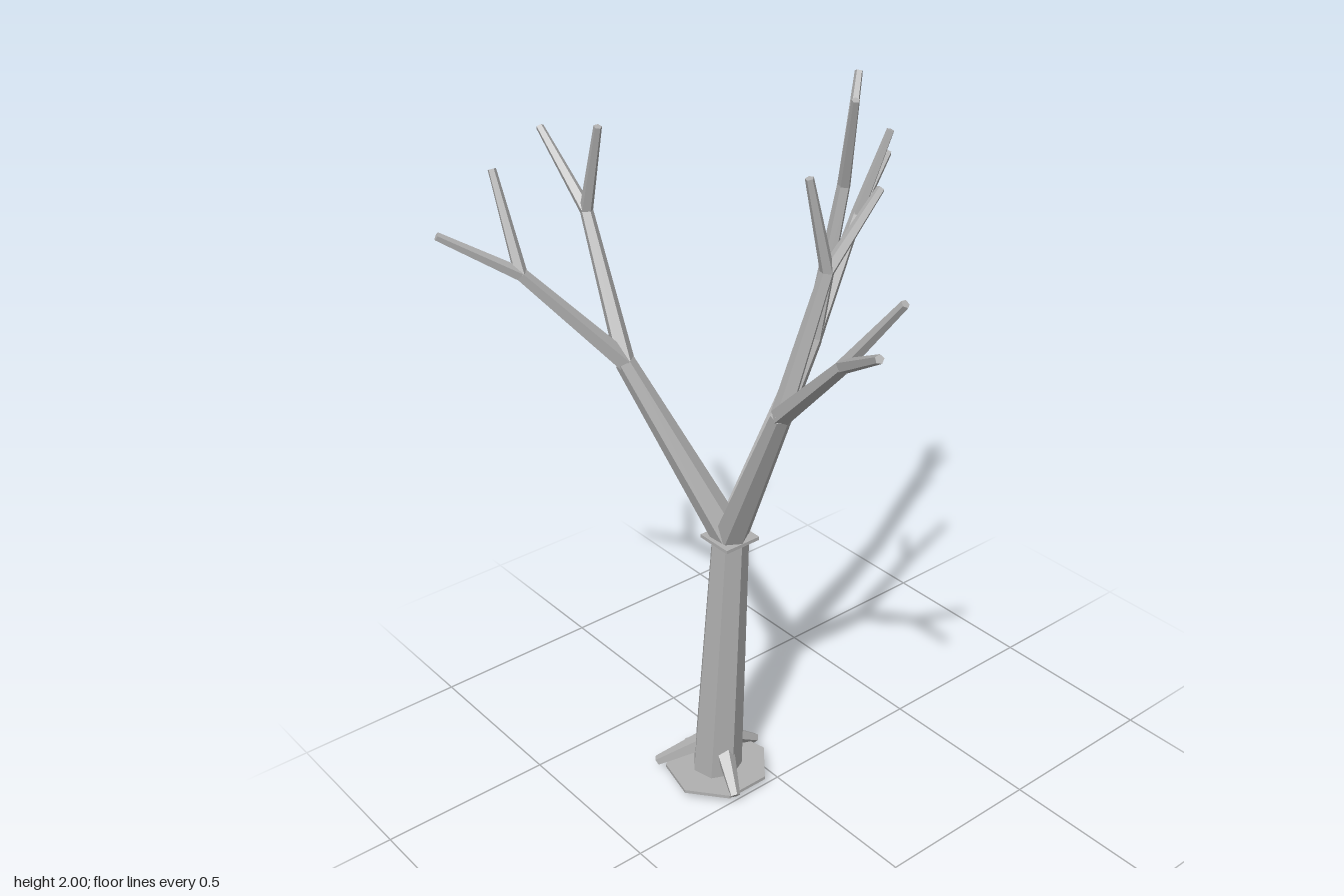
import * as THREE from 'three';

const UP = new THREE.Vector3(0, 1, 0);

export function createModel() {
  const tree = new THREE.Group();
  tree.name = 'bareTree';
  const bark = new THREE.MeshStandardMaterial({ color: 0xb0b0b0, flatShading: true });
  bark.name = 'greyBark';

  const add = (name, geometry) => {
    const mesh = new THREE.Mesh(geometry, bark);
    mesh.name = name;
    tree.add(mesh);
    return mesh;
  };

  // Tapered faceted rod from point a to point b
  const rod = (name, a, b, r0, r1, sides) => {
    const start = new THREE.Vector3(...a);
    const axis = new THREE.Vector3(...b).sub(start);
    const mesh = add(name, new THREE.CylinderGeometry(r1, r0, axis.length(), sides));
    mesh.position.copy(start).addScaledVector(axis, 0.5);
    mesh.quaternion.setFromUnitVectors(UP, axis.normalize());
  };

  // Trunk, with a thin base plate and a square collar at the crown
  const crown = [-0.1, 0.835, -0.08];
  rod('trunk', [-0.124, 0.005, -0.132], crown, 0.074, 0.052, 7);
  const base = add('basePlate', new THREE.CylinderGeometry(0.152, 0.152, 0.01, 7));
  base.position.set(-0.122, 0.035, -0.127);
  base.rotation.y = Math.PI;
  const collar = add('crownCollar', new THREE.BoxGeometry(0.112, 0.01, 0.112));
  collar.position.set(...crown);

  // Roots: start and tip
  const roots = [
    [[-0.1, 0.125, -0.157], [0.04, 0.035, -0.15]],
    [[-0.128, 0.125, -0.09], [-0.172, 0.035, 0.015]],
    [[-0.14, 0.125, -0.15], [-0.245, 0.035, -0.255]],
  ];
  for (const [a, b] of roots) rod('root', a, b, 0.03, 0.015, 5);

  // Each limb forks into two branches, each branch into two twigs
  const limbs = [
    { end: [0.2, 1.33, -0.09], branches: [
      { end: [0.275, 1.745, -0.062], twigs: [[0.23, 1.995, 0.022], [0.4, 1.995, -0.15]] },
      { end: [0.457, 1.575, -0.205], twigs: [[0.65, 1.685, -0.29], [0.528, 1.81, -0.158]] },
    ] },
    { end: [-0.157, 1.335, 0.197], branches: [
      { end: [-0.05, 1.695, 0.237], twigs: [[0.124, 1.855, 0.228], [-0.104, 1.935, 0.232]] },
      { end: [-0.205, 1.585, 0.465], twigs: [[-0.29, 1.705, 0.667], [-0.18, 1.785, 0.627]] },
    ] },
    { end: [-0.263, 1.33, -0.297], branches: [
      { end: [-0.48, 1.595, -0.415], twigs: [[-0.655, 1.715, -0.5], [-0.478, 1.84, -0.513]] },
      { end: [-0.237, 1.685, -0.472], twigs: [[-0.24, 1.925, -0.396], [-0.234, 1.855, -0.668]] },
    ] },
  ];
  for (const limb of limbs) {
    rod('limb', crown, limb.end, 0.047, 0.027, 6);
    for (const branch of limb.branches) {
      rod('branch', limb.end, branch.end, 0.027, 0.018, 5);
      for (const tip of branch.twigs) rod('twig', branch.end, tip, 0.018, 0.011, 5);
    }
  }
  return tree;
}
